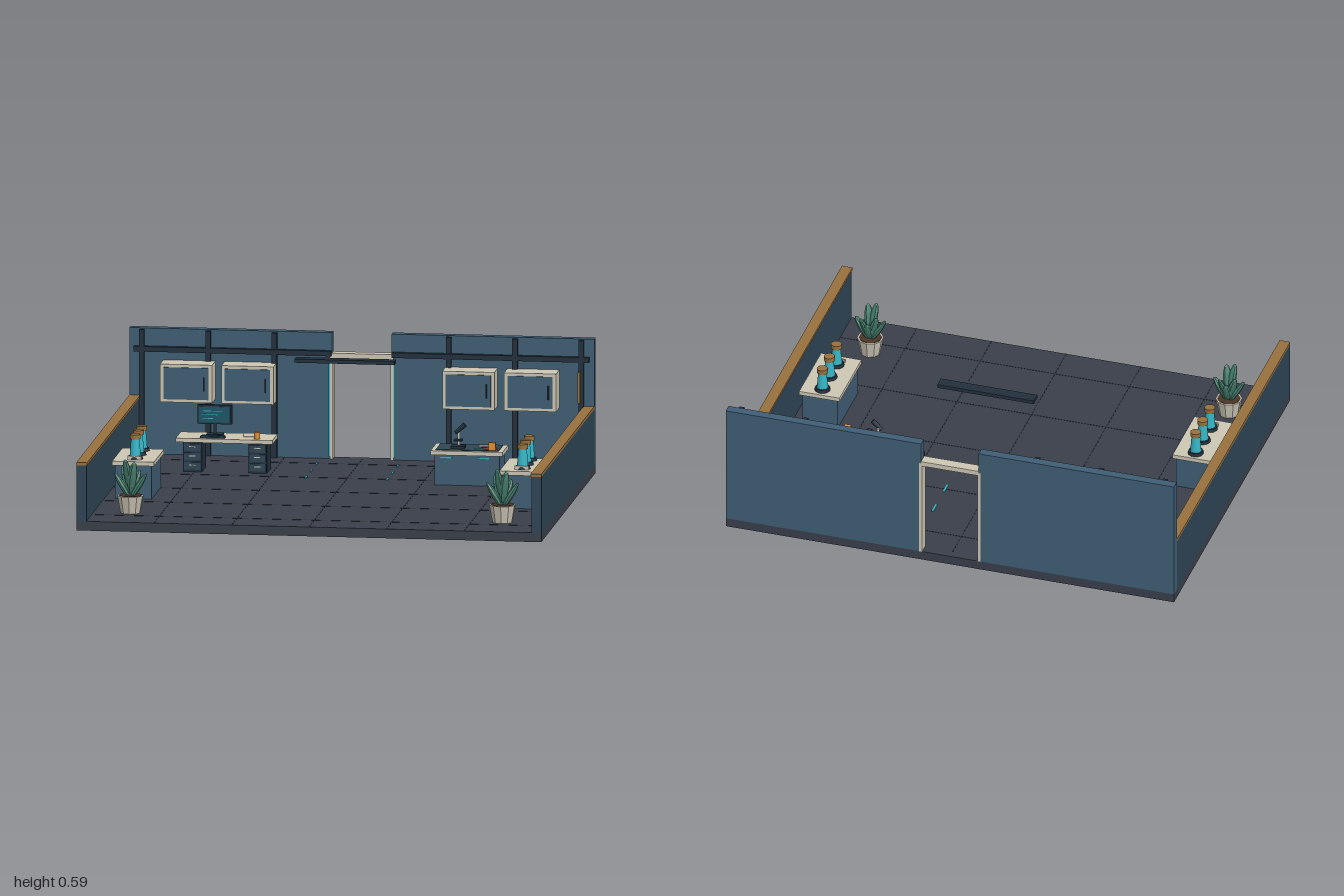
import * as THREE from 'three';

const mat = (color, extra = {}) => new THREE.MeshStandardMaterial({ color, ...extra });
const M = {
  floor: mat(0x3a3f4b), groove: mat(0x2b303a), wall: mat(0x3f5e75), side: mat(0x2f4656),
  trim: mat(0x22303d), beige: mat(0xcdc7b4), wood: mat(0x97713f), cyan: mat(0x35b5c6),
  screen: mat(0x1d5664), leaf: mat(0x48806f, { flatShading: true }), pot: mat(0xc9c3b3, { flatShading: true }),
  soil: mat(0x4a3628), orange: mat(0xe09132), red: mat(0xa8452f),
};

function add(parent, name, geometry, material, x = 0, y = 0, z = 0) {
  const m = new THREE.Mesh(geometry, material);
  m.name = name;
  m.position.set(x, y, z);
  parent.add(m);
  return m;
}
// Box given by its limits on each axis
function box(parent, name, material, x0, x1, y0, y1, z0, z1) {
  return add(parent, name, new THREE.BoxGeometry(x1 - x0, y1 - y0, z1 - z0), material,
    (x0 + x1) / 2, (y0 + y1) / 2, (z0 + z1) / 2);
}
function cyl(parent, name, material, rTop, rBottom, y0, y1, x, z, sides = 16) {
  return add(parent, name, new THREE.CylinderGeometry(rTop, rBottom, y1 - y0, sides), material, x, (y0 + y1) / 2, z);
}
function group(parent, name) {
  const g = new THREE.Group();
  g.name = name;
  parent.add(g);
  return g;
}

function buildShell(root) {
  const g = group(root, 'roomShell');
  box(g, 'floor', M.floor, -1, 1, 0, 0.04, -0.83, 0.83);
  // Tile joints
  for (const t of [-0.667, -0.333, 0, 0.333, 0.667]) {
    box(g, 'tileJoint', M.groove, t - 0.002, t + 0.002, 0.039, 0.041, -0.79, 0.83);
    box(g, 'tileJoint', M.groove, -0.955, 0.955, 0.039, 0.041, t - 0.002, t + 0.002);
  }
  for (const s of [-1, 1]) {
    const span = (name, m, a, b, ...r) => box(g, name, m, Math.min(s * a, s * b), Math.max(s * a, s * b), ...r);
    span('sideWall', M.side, 0.957, 1, 0.04, 0.282, -0.79, 0.83);
    span('sideWallCap', M.wood, 0.953, 1, 0.282, 0.294, -0.79, 0.83);
    span('backWall', M.wall, 0.128, 1, 0.04, 0.585, -0.83, -0.79);
    span('wallRail', M.trim, 0.13, 0.98, 0.486, 0.508, -0.79, -0.768);
    for (const x of [0.375, 0.66, 0.945])
      span('wallStud', M.trim, x - 0.011, x + 0.011, 0.04, 0.58, -0.79, -0.772);
    span('doorPost', M.beige, 0.124, 0.137, 0.04, 0.49, -0.832, -0.782);
    span('doorLight', M.cyan, 0.137, 0.143, 0.05, 0.475, -0.79, -0.782);
    // Guide lights in the floor
    for (const z of [-0.65, -0.49, -0.33])
      span('floorLight', M.cyan, 0.171, 0.179, 0.04, 0.043, z - 0.027, z + 0.027);
  }
  box(g, 'doorLintel', M.beige, -0.128, 0.128, 0.475, 0.497, -0.832, -0.785);
  box(g, 'hangingBeam', M.trim, -0.218, 0.212, 0.545, 0.561, -0.33, -0.28);
  box(g, 'wallGauge', M.wood, 0.932, 0.942, 0.31, 0.445, -0.772, -0.762);
}

function buildCabinet(root, x) {
  const g = group(root, 'wallCabinet');
  g.position.set(x, 0.367, 0);
  box(g, 'cabinetBody', M.beige, -0.112, 0.112, -0.082, 0.082, -0.79, -0.688);
  box(g, 'cabinetDoor', M.wall, -0.097, 0.097, -0.069, 0.069, -0.69, -0.684);
  box(g, 'cabinetHandle', M.trim, 0.075, 0.081, -0.03, 0.03, -0.684, -0.676);
}

function buildDesk(root) {
  const g = group(root, 'desk');
  g.position.set(-0.535, 0, -0.457);
  box(g, 'deskTop', M.beige, -0.208, 0.208, 0.17, 0.187, -0.078, 0.078);
  // Drawer pedestals
  for (const x of [-0.138, 0.142]) {
    box(g, 'pedestal', M.trim, x - 0.04, x + 0.04, 0.04, 0.17, -0.062, 0.06);
    for (let i = 0; i < 3; i++) {
      const y = 0.066 + i * 0.04;
      box(g, 'drawer', M.side, x - 0.035, x + 0.035, y - 0.016, y + 0.016, 0.06, 0.066);
      box(g, 'drawerHandle', M.beige, x - 0.014, x + 0.014, y + 0.002, y + 0.006, 0.066, 0.07);
    }
  }
  // Computer
  box(g, 'monitorBase', M.trim, -0.088, -0.018, 0.187, 0.193, -0.046, 0.002);
  box(g, 'monitorStand', M.trim, -0.059, -0.047, 0.19, 0.25, -0.032, -0.02);
  box(g, 'monitorCase', M.trim, -0.127, 0.021, 0.235, 0.318, -0.03, -0.014);
  box(g, 'monitorScreen', M.screen, -0.12, 0.014, 0.242, 0.311, -0.015, -0.012);
  for (let i = 0; i < 3; i++)
    box(g, 'screenLine', M.cyan, -0.105, -0.06 + 0.02 * i, 0.258 + 0.016 * i, 0.261 + 0.016 * i, -0.013, -0.011);
  box(g, 'keyboard', M.trim, -0.106, 0, 0.187, 0.194, 0.03, 0.063);
  for (let i = 0; i < 3; i++)
    box(g, 'keyRow', M.screen, -0.101, -0.005, 0.193, 0.197, 0.034 + i * 0.009, 0.04 + i * 0.009);
  box(g, 'paper', M.pot, 0.068, 0.13, 0.187, 0.19, -0.066, 0.01).rotation.y = 0.15;
  cyl(g, 'mug', M.orange, 0.013, 0.012, 0.187, 0.216, 0.137, 0.045);
}

function buildWorkbench(root) {
  const g = group(root, 'workbench');
  g.position.set(0.53, 0, -0.31);
  box(g, 'benchBody', M.wall, -0.14, 0.14, 0.04, 0.172, -0.075, 0.075);
  box(g, 'benchTop', M.beige, -0.155, 0.155, 0.172, 0.19, -0.09, 0.09);
  box(g, 'benchMat', M.side, -0.135, 0.135, 0.188, 0.193, -0.073, 0.073);
  for (const x of [-0.09, 0.07]) box(g, 'benchLight', M.cyan, x - 0.025, x + 0.025, 0.157, 0.162, 0.075, 0.079);
  // Microscope
  const m = group(g, 'microscope');
  m.position.set(-0.045, 0.193, 0.02);
  box(m, 'microscopeBase', M.trim, -0.03, 0.03, 0, 0.01, -0.025, 0.025);
  cyl(m, 'microscopeArm', M.beige, 0.006, 0.006, 0.01, 0.075, 0, -0.012, 10);
  box(m, 'microscopeStage', M.trim, -0.018, 0.018, 0.03, 0.036, -0.018, 0.018);
  cyl(m, 'microscopeTube', M.trim, 0.011, 0.008, 0.055, 0.11, 0.008, 0, 12).rotation.z = -0.85;
  // Loose items
  box(g, 'notes', M.pot, 0.04, 0.08, 0.193, 0.197, -0.035, 0);
  box(g, 'tray', M.red, 0.055, 0.125, 0.193, 0.2, 0.03, 0.04);
  box(g, 'sampleBox', M.orange, 0.09, 0.12, 0.193, 0.226, 0.044, 0.062);
  box(g, 'pen', M.cyan, 0.03, 0.065, 0.193, 0.197, 0.05, 0.055);
}

function buildCounter(root, s) {
  const g = group(root, 'sampleCounter');
  g.position.set(s * 0.833, 0, 0.128);
  box(g, 'counterBody', M.wall, -0.078, 0.078, 0.04, 0.185, -0.145, 0.145);
  box(g, 'counterTop', M.beige, -0.09, 0.09, 0.185, 0.203, -0.157, 0.157);
  // Specimen jars with stoppers
  for (const z of [-0.112, -0.012, 0.088]) {
    cyl(g, 'jarBase', M.trim, 0.031, 0.034, 0.203, 0.216, 0, z);
    cyl(g, 'jarGlass', M.cyan, 0.018, 0.024, 0.216, 0.292, 0, z);
    cyl(g, 'jarStopper', M.wood, 0.023, 0.023, 0.29, 0.31, 0, z);
  }
  box(g, 'counterLabel', M.pot, -0.03, 0.03, 0.203, 0.22, 0.112, 0.118);
}

function buildPlant(root, s) {
  const g = group(root, 'pottedPlant');
  g.position.set(s * 0.8, 0, 0.595);
  cyl(g, 'pot', M.pot, 0.057, 0.043, 0.04, 0.115, 0, 0, 10);
  cyl(g, 'soil', M.soil, 0.049, 0.049, 0.11, 0.117, 0, 0, 10);
  // Leaves: flat ellipsoids leaning outward [angle, lean, length, start height]
  const leaves = [[0, 0.55, 0.13, 0.1], [0.7, 0.4, 0.12, 0.11], [1.5, 0.4, 0.1, 0.11], [2.4, 0.4, 0.13, 0.12],
    [3.14, 0.55, 0.13, 0.1], [4.1, 0.25, 0.14, 0.14], [5.3, 0.25, 0.15, 0.12]];
  for (const [angle, lean, len, y] of leaves) {
    const pivot = group(g, 'leafStem');
    pivot.position.y = y;
    pivot.rotation.set(0, angle, -lean);
    add(pivot, 'leaf', new THREE.SphereGeometry(0.5, 8, 6).scale(0.028, len, 0.042), M.leaf, 0, len / 2, 0);
  }
}

export function createModel() {
  const root = new THREE.Group();
  root.name = 'laboratoryRoom';
  buildShell(root);
  for (const x of [-0.742, -0.478, 0.472, 0.738]) buildCabinet(root, x);
  buildDesk(root);
  buildWorkbench(root);
  for (const s of [-1, 1]) {
    buildCounter(root, s);
    buildPlant(root, s);
  }
  return root;
}
